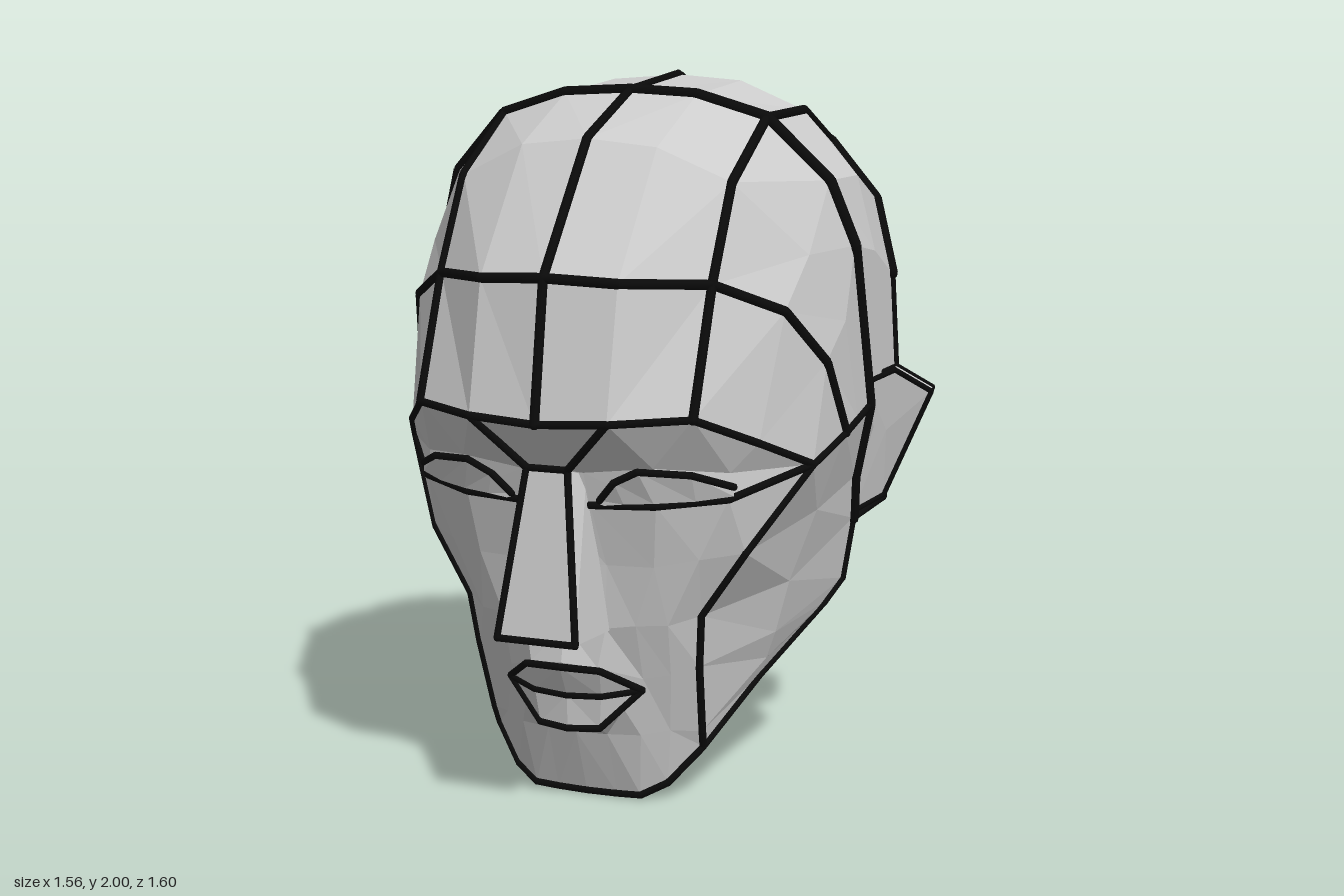
import * as THREE from 'three';
import { mergeGeometries } from 'three/addons/utils/BufferGeometryUtils.js';

const V = (p) => new THREE.Vector3(...p);
const flip = (p) => [-p[0], p[1], p[2]];
const CENTRE = [0, 0.9, 0.1];

// Faceted surface over rows of points; every triangle is turned away from the centre
function facets(rows, centre = CENTRE) {
  const out = [], mid = V(centre);
  const tri = (a, b, c) => {
    const [A, B, C] = [a, b, c].map(V);
    const n = B.clone().sub(A).cross(C.clone().sub(A));
    if (n.length() < 1e-7) return;
    const d = A.clone().add(B).add(C).divideScalar(3).sub(mid);
    out.push(...a, ...(n.dot(d) < 0 ? [...c, ...b] : [...b, ...c]));
  };
  for (let i = 0; i + 1 < rows.length; i++) {
    for (let j = 0; j + 1 < rows[i].length; j++) {
      const [a, b, c, d] = [rows[i][j], rows[i][j + 1], rows[i + 1][j + 1], rows[i + 1][j]];
      tri(a, b, c);
      tri(a, c, d);
    }
  }
  const g = new THREE.BufferGeometry();
  g.setAttribute('position', new THREE.Float32BufferAttribute(out, 3));
  g.computeVertexNormals();
  return g;
}

// Surface plus its mirror image
const bothSides = (rows, centre = CENTRE) =>
  mergeGeometries([facets(rows, centre), facets(rows.map((r) => r.map(flip)), flip(centre))]);

// Round bar following a polyline, with a bead at every corner
function bar(points, r) {
  const parts = [];
  points.forEach((p, i) => {
    const a = V(p);
    parts.push(new THREE.SphereGeometry(r, 8, 6).translate(...p));
    if (i + 1 === points.length) return;
    const d = V(points[i + 1]).sub(a), len = d.length();
    if (len < 1e-5) return;
    const q = new THREE.Quaternion().setFromUnitVectors(new THREE.Vector3(0, 1, 0), d.normalize());
    parts.push(new THREE.CylinderGeometry(r, r, len, 8, 1, true)
      .translate(0, len / 2, 0).applyQuaternion(q).translate(...p));
  });
  return mergeGeometries(parts);
}
const bars = (list, r) => mergeGeometries(list.flatMap((l) => [bar(l, r), bar(l.map(flip), r)]));

export function createModel() {
  const group = new THREE.Group();
  const skin = new THREE.MeshStandardMaterial({ color: 0xcccccc, side: THREE.DoubleSide });
  skin.name = 'light grey';
  const black = new THREE.MeshStandardMaterial({ color: 0x0a0a0a });
  black.name = 'line black';
  const add = (name, geometry, material = skin) => {
    const m = new THREE.Mesh(geometry, material);
    m.name = name;
    group.add(m);
  };

  // Skull arcs, brow to back, each from the midline down the side
  const temple = [0.61, 0.96, 0.32];
  const skull = [
    [[0, 1.1, 0.79], [0.2, 1.11, 0.775], [0.4, 1.12, 0.67], [0.52, 1.04, 0.5], temple, temple],
    [[0, 1.48, 0.73], [0.2, 1.47, 0.7], [0.4, 1.46, 0.54], [0.55, 1.38, 0.39], [0.62, 1.23, 0.25], [0.64, 1.02, 0.14]],
    [[0, 1.83, 0.45], [0.2, 1.81, 0.44], [0.4, 1.72, 0.4], [0.57, 1.52, 0.26], [0.635, 1.33, 0.14], [0.643, 1.045, 0.045]],
    [[0, 1.95, 0.16], [0.2, 1.94, 0.16], [0.4, 1.88, 0.14], [0.57, 1.71, 0.1], [0.632, 1.53, 0.06], [0.645, 1.07, -0.05]],
    [[0, 1.985, -0.19], [0.2, 1.97, -0.18], [0.4, 1.89, -0.16], [0.57, 1.71, -0.14], [0.632, 1.5, -0.12], [0.64, 1.1, -0.18]],
    [[0, 1.89, -0.46], [0.2, 1.88, -0.46], [0.4, 1.79, -0.4], [0.56, 1.63, -0.34], [0.63, 1.42, -0.285], [0.635, 1.14, -0.32]],
  ];
  add('cranium', bothSides(skull));

  // Back of the skull, down to the nape
  const back = [
    skull[5].slice(0, 5),
    [[0, 1.6, -0.69], [0.2, 1.59, -0.66], [0.4, 1.5, -0.56], [0.56, 1.43, -0.42], [0.63, 1.42, -0.285]],
    [[0, 1.24, -0.775], [0.2, 1.23, -0.745], [0.4, 1.2, -0.63], [0.56, 1.17, -0.47], [0.635, 1.14, -0.32]],
    [[0, 1.02, -0.785], [0.2, 1.01, -0.75], [0.4, 1, -0.64], [0.55, 0.97, -0.48], [0.62, 0.95, -0.325]],
    [[0, 0.86, -0.755], [0.2, 0.85, -0.725], [0.4, 0.81, -0.61], [0.53, 0.78, -0.46], [0.6, 0.75, -0.33]],
  ];
  add('backOfHead', bothSides(back));

  // Face rows, brow to chin, each from the midline to the cheek edge
  const face = [
    skull[0].slice(0, 5),
    [[0, 0.97, 0.7], [0.09, 0.96, 0.68], [0.28, 0.98, 0.655], [0.45, 0.96, 0.53], temple],
    [[0, 0.87, 0.68], [0.1, 0.87, 0.66], [0.28, 0.875, 0.635], [0.45, 0.89, 0.54], temple],
    [[0, 0.7, 0.66], [0.13, 0.7, 0.62], [0.26, 0.7, 0.6], [0.37, 0.72, 0.55], [0.47, 0.73, 0.465]],
    [[0, 0.52, 0.61], [0.12, 0.52, 0.605], [0.2, 0.53, 0.585], [0.28, 0.53, 0.55], [0.35, 0.55, 0.485]],
    [[0, 0.42, 0.635], [0.1, 0.41, 0.615], [0.2, 0.37, 0.535], [0.27, 0.38, 0.505], [0.335, 0.4, 0.46]],
    [[0, 0.2, 0.54], [0.09, 0.2, 0.53], [0.18, 0.2, 0.505], [0.25, 0.21, 0.46], [0.32, 0.2, 0.4]],
    [[0, 0.012, 0.47], [0.09, 0.012, 0.465], [0.16, 0.014, 0.46], [0.23, 0.05, 0.43], [0.315, 0.15, 0.38]],
  ];
  add('face', bothSides(face));

  // Side of the jaw, from the cheek edge back to the ear
  const cheek = face.slice(2).map((r) => r[4]);
  const jaw = [
    [cheek[0], [0.64, 1.02, 0.14], skull[3][5]],
    [cheek[1], [0.565, 0.8, 0.16], [0.585, 0.85, -0.105]],
    [cheek[2], [0.5, 0.6, 0.2], [0.57, 0.72, -0.14]],
    [cheek[3], [0.46, 0.45, 0.2], [0.54, 0.54, -0.14]],
    [cheek[4], [0.43, 0.37, 0.19], [0.51, 0.48, -0.07]],
    [cheek[5], [0.41, 0.32, 0.18], [0.49, 0.45, -0.03]],
  ];
  add('jawSide', bothSides(jaw));
  add('sideBehindJaw', bothSides([
    [skull[3][5], skull[4][5], skull[5][5]],
    [jaw[1][2], [0.62, 0.91, -0.21], back[3][4]],
    [jaw[2][2], [0.585, 0.735, -0.23], back[4][4]],
  ]));

  // Underside: strips from right to left along the jaw edge and nape
  const jawEdge = [...face[7].slice(0, 4), ...jaw[5], jaw[4][2], jaw[3][2]];
  const nape = [...back[4]].reverse();
  const rim = [...jawEdge, jaw[2][2], ...nape];
  add('underside', facets(rim.map((p) => [p, flip(p)])));

  // Wedge nose
  const bridge = [0.06, 0.97, 0.715], tip = [0.115, 0.515, 0.79];
  const wing = [0.13, 0.515, 0.6], inner = [0.09, 0.95, 0.66];
  add('nose', mergeGeometries([
    facets([[inner, bridge, flip(bridge), flip(inner)], [wing, tip, flip(tip), flip(wing)]], [0, 0.75, 0.55]),
    facets([[tip, flip(tip)], [wing, flip(wing)]], [0, 0.75, 0.65]),
  ]));

  // Closed eyelids
  const lidTop = [[0.13, 0.885, 0.665], [0.18, 0.94, 0.685], [0.25, 0.975, 0.69], [0.38, 0.965, 0.63], [0.465, 0.925, 0.54]];
  const lidLow = [[0.13, 0.87, 0.665], [0.2, 0.88, 0.665], [0.28, 0.885, 0.65], [0.38, 0.89, 0.6], [0.465, 0.9, 0.54]];
  add('eyelids', bothSides([lidTop, lidLow]));

  // Lips
  const corner = [0.2, 0.34, 0.54];
  const lipTop = [[0, 0.41, 0.645], [0.11, 0.405, 0.625], corner];
  const lipMid = [[0, 0.32, 0.6], [0.1, 0.325, 0.592], corner];
  const lipLow = [[0, 0.225, 0.595], [0.09, 0.23, 0.58], corner];
  add('lips', bothSides([lipTop, lipMid, lipLow, [[0, 0.2, 0.54], [0.09, 0.2, 0.53], corner]]));

  // Slab ears, swept outwards and back
  const earFront = [[0.63, 1.13, -0.07], [0.69, 1.16, -0.14], [0.77, 1.09, -0.235], [0.635, 0.78, -0.225], [0.57, 0.74, -0.15]];
  const earBack = earFront.map(([x, y, z]) => [x - 0.02, y, z - 0.08]);
  const earMid = [0.64, 0.95, -0.19];
  const hub = (ring) => ring.concat([ring[0]]).map(() =>
    [0, 1, 2].map((k) => ring.reduce((s, p) => s + p[k], 0) / ring.length));
  const close = (ring) => [...ring, ring[0]];
  add('ears', bothSides([hub(earFront), close(earFront), close(earBack), hub(earBack)], earMid));

  // Heavy lines over the crown
  const meridian = (c) => [...skull.map((r) => r[c]), ...back.slice(1).map((r) => r[c])];
  add('crownLines', bars([
    [...skull[3], jaw[1][2], jaw[2][2]],
    skull[5].slice(0, 5),
  ], 0.018), black);
  add('skullLines', bars([meridian(0), meridian(2), skull[1]], 0.014), black);
  add('backLines', bars([
    back[2], back[4], [skull[5][4], back[2][4], back[3][4], back[4][4], jaw[2][2]],
  ], 0.011), black);

  // Lines of the brow, cheek and jaw
  add('faceLines', bars([
    skull[0],
    [temple, skull[1][5], skull[2][5], skull[3][5]],
    cheek,
    [...jawEdge, jaw[2][2]],
    [skull[0][1], bridge],
    [...face[2].slice(1, 4), temple],
  ], 0.011), black);

  // Fine lines of the features
  add('featureLines', bars([
    [[0, 0.97, 0.715], bridge, tip, [0, 0.515, 0.79]],
    lidTop, lipTop, lipMid, lipLow,
  ], 0.01), black);
  add('earLines', bars([close(earFront), close(earBack)], 0.008), black);

  return group;
}
